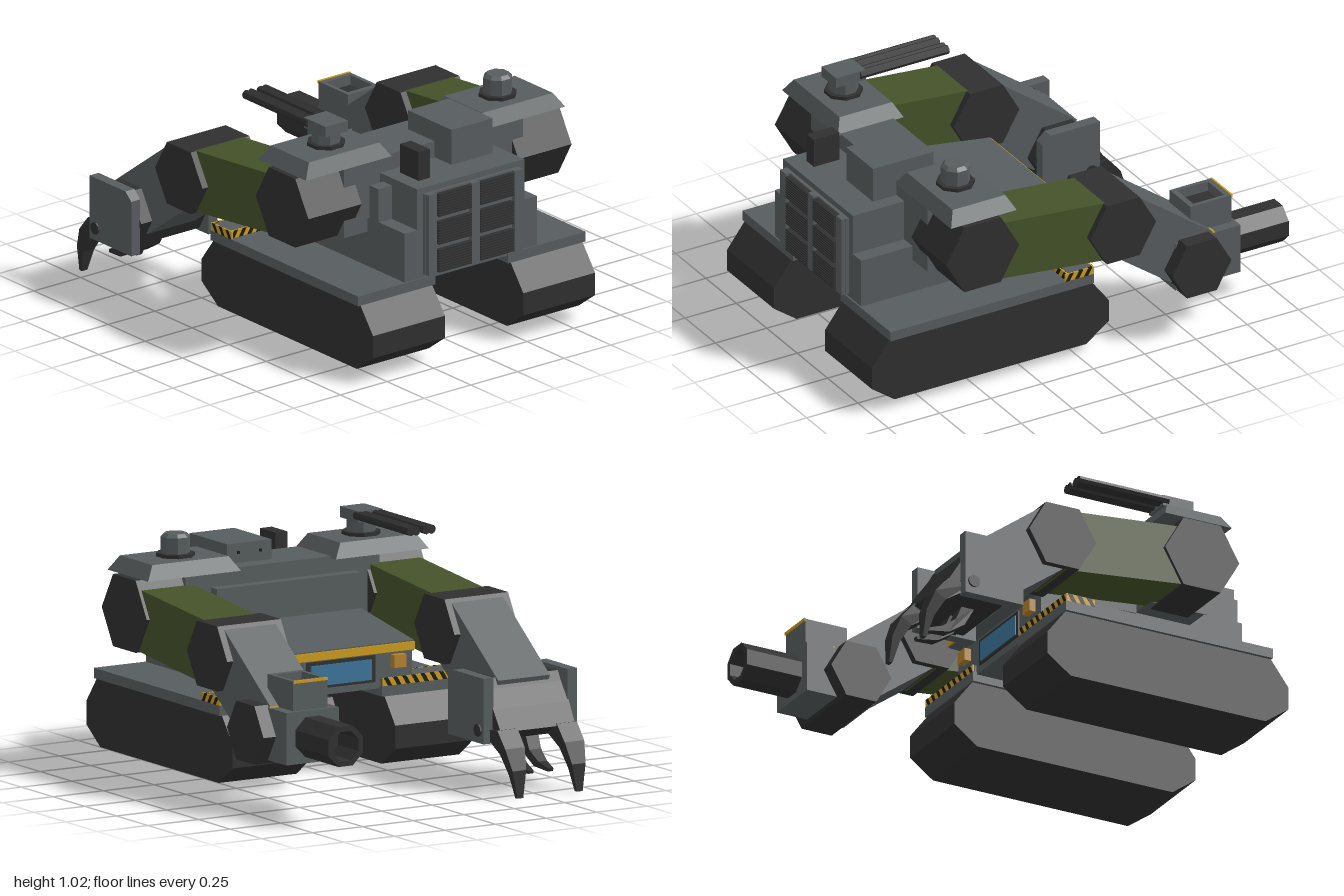
import * as THREE from 'three';

const mat = (name, color) => {
  const m = new THREE.MeshStandardMaterial({ color });
  m.name = name;
  return m;
};

export function createModel() {
  const grey = mat('armour grey', 0x575c5e), dark = mat('dark steel', 0x2f2f2f), green = mat('olive green', 0x445229);
  const yellow = mat('warning yellow', 0xcc9c1c), black = mat('stripe black', 0x1b1a17);
  const blue = mat('window blue', 0x3c7499), amber = mat('lamp amber', 0xb5832c);

  const root = new THREE.Group();
  const model = new THREE.Group();
  model.name = 'vehicle';
  model.position.x = 0.02; // the hull's symmetry plane
  root.add(model);

  const add = (name, geo, m, parent = model) => {
    const mesh = new THREE.Mesh(geo, m);
    mesh.name = name;
    parent.add(mesh);
    return mesh;
  };
  const facet = (geo) => {
    const g = geo.index ? geo.toNonIndexed() : geo;
    g.computeVertexNormals();
    return g;
  };
  const box = (name, m, x0, x1, y0, y1, z0, z1) => add(name, new THREE.BoxGeometry(Math.abs(x1 - x0), y1 - y0, z1 - z0)
    .translate((x0 + x1) / 2, (y0 + y1) / 2, (z0 + z1) / 2), m);
  // Side profile of [z, y] points, extruded across x; widthAt(z, y) tapers it
  const slab = (name, m, points, x0, x1, widthAt) => {
    const shape = new THREE.Shape(points.map(([z, y]) => new THREE.Vector2(z, y)));
    const w = Math.abs(x1 - x0), mid = (x0 + x1) / 2;
    const geo = new THREE.ExtrudeGeometry(shape, { depth: w, bevelEnabled: false }).rotateY(-Math.PI / 2).translate(w / 2, 0, 0);
    const p = geo.attributes.position;
    if (widthAt) for (let i = 0; i < p.count; i++) p.setX(i, p.getX(i) * widthAt(p.getZ(i), p.getY(i)));
    return add(name, facet(geo.translate(mid, 0, 0)), m);
  };
  // Prism lying along x, with corners pointing to the front and back
  const axle = (name, m, x0, x1, y, z, r, sides = 6) => add(name,
    facet(new THREE.CylinderGeometry(r, r, Math.abs(x1 - x0), sides).rotateZ(Math.PI / 2).translate((x0 + x1) / 2, y, z)), m);
  const post = (name, m, x, y0, y1, z, r0, r1 = r0) => add(name,
    facet(new THREE.CylinderGeometry(r1, r0, y1 - y0, 8).rotateY(Math.PI / 8).translate(x, (y0 + y1) / 2, z)), m);
  // Warning strip in the xy plane, striped on both faces
  const hazard = (length, x, y, z, turn) => {
    const g = new THREE.Group();
    g.name = 'hazardStrip';
    const h = 0.034, n = Math.round(length / 0.045), step = length / n;
    add('stripBase', new THREE.BoxGeometry(length, h, 0.007), yellow, g);
    for (let i = 0; i < n; i++) {
      const a = -length / 2 + i * step, s = step * 0.45;
      const shape = new THREE.Shape([[a, -h / 2], [a + s, -h / 2], [a + 2 * s, h / 2], [a + s, h / 2]].map((q) => new THREE.Vector2(...q)));
      add('stripe', new THREE.ExtrudeGeometry(shape, { depth: 0.0095, bevelEnabled: false }).translate(0, 0, -0.00475), black, g);
    }
    g.position.set(x, y, z);
    g.rotation.y = turn;
    model.add(g);
  };

  // Hull, hood and rear body
  slab('hull', grey, [[0.91, 0.37], [0.91, 0.6], [0.4, 0.6], [0.4, 0.53], [-0.055, 0.53], [-0.055, 0.37]], -0.355, 0.355);
  slab('hood', grey, [[0.4, 0.53], [0.4, 0.635], [-0.12, 0.575], [-0.12, 0.53]], -0.36, 0.36, (z) => 0.9 + 0.2 * (z + 0.12));
  box('hoodTrim', yellow, -0.325, 0.325, 0.535, 0.57, -0.127, -0.119);
  box('rearBody', grey, -0.287, 0.287, 0.59, 0.783, 0.36, 0.91);
  box('bodyShoulder', grey, -0.355, 0.355, 0.59, 0.783, 0.35, 0.66);
  box('shoulderMount', grey, -0.48, 0.48, 0.535, 0.855, 0.4, 0.66);
  box('sideBox', grey, -0.36, -0.28, 0.6, 0.75, 0.68, 0.74);

  // Roof equipment
  box('roofCabin', grey, 0.005, 0.225, 0.78, 0.94, 0.48, 0.775);
  for (const x of [0.06, 0.17]) for (const y of [0.83, 0.9]) box('cabinBolt', black, x - 0.006, x + 0.006, y - 0.006, y + 0.006, 0.475, 0.481);
  box('roofHatch', grey, -0.125, 0.005, 0.78, 0.815, 0.52, 0.64);
  box('periscope', dark, -0.22, -0.16, 0.78, 0.912, 0.71, 0.835);

  // Rear grille with six banks of slats
  box('grillePanel', grey, -0.255, 0.255, 0.395, 0.757, 0.9, 0.925);
  for (const x of [-0.23, 0, 0.23]) box('grilleFrame', grey, x - 0.022, x + 0.022, 0.395, 0.757, 0.92, 0.945);
  for (const x of [-0.112, 0.112]) for (const y of [0.7, 0.575, 0.45]) for (let i = -4; i <= 4; i++)
    box('ventSlat', dark, x - 0.088, x + 0.088, y + i * 0.0115 - 0.0035, y + i * 0.0115 + 0.0035, 0.92, 0.95);

  // Driver window
  box('windowFrame', dark, -0.17, 0.17, 0.4, 0.515, -0.061, -0.05);
  box('window', blue, -0.15, 0.15, 0.412, 0.5, -0.066, -0.058);

  for (const s of [-1, 1]) {
    // Running gear
    slab('track', dark, [[1, 0.225], [0.915, 0.337], [-0.07, 0.337], [-0.155, 0.225], [-0.155, 0.125], [-0.045, 0.045], [0.89, 0.045], [1, 0.125]],
      s * 0.21, s * 0.595);
    box('fender', grey, s * 0.195, s * 0.61, 0.337, 0.381, -0.075, 0.917);
    box('fenderBlock', grey, s * 0.2, s * 0.602, 0.38, 0.413, -0.066, 0.05);
    hazard(0.41, s * 0.405, 0.398, -0.07, 0);
    hazard(0.41, s * 0.405, 0.398, 0.054, 0);
    hazard(0.135, s * 0.606, 0.398, -0.003, Math.PI / 2);
    box('lamp', amber, s * 0.25, s * 0.31, 0.455, 0.51, -0.085, -0.05);

    // Jointed arm
    axle('shoulderJoint', dark, s * 0.42, s * 0.705, 0.687, 0.525, 0.178);
    slab('upperArm', green, [[0.45, 0.805], [-0.13, 0.752], [-0.13, 0.478], [0.45, 0.54]], s * 0.435, s * 0.69);
    axle('elbowJoint', dark, s * 0.405, s * 0.72, 0.618, -0.152, 0.16);
    slab('forearm', grey, [[-0.12, 0.745], [-0.235, 0.745], [-0.61, 0.468], [-0.55, 0.3], [-0.4, 0.285], [-0.12, 0.49]], s * 0.435, s * 0.69);

    // Sloped roof turret
    const plate = new THREE.BoxGeometry(0.46, 0.062, 0.32);
    const p = plate.attributes.position;
    for (let i = 0; i < p.count; i++) if (p.getY(i) > 0) p.setXYZ(i, p.getX(i) * 0.82, p.getY(i), p.getZ(i) * 0.8);
    add('turretBase', facet(plate.translate(s * 0.465, 0.88, 0.513)), grey);
    post('turretRing', dark, s * 0.46, 0.908, 0.926, 0.513, 0.083);
    post('cupola', grey, s * 0.46, 0.92, 0.995, 0.513, 0.063);
    post('cupolaCap', grey, s * 0.46, 0.995, 1.01, 0.513, 0.063, 0.048);
  }

  // Twin gun on the right turret
  box('gunBody', grey, -0.52, -0.4, 0.975, 1.022, 0.44, 0.585);
  for (const x of [-0.498, -0.422]) for (const d of [-0.013, 0.013])
    add('gunBarrel', facet(new THREE.CylinderGeometry(0.02, 0.02, 0.43, 8).rotateX(Math.PI / 2).translate(x + d, 1.002, 0.252)), dark);

  // Left hand: cannon with an open sight box
  axle('cannonWrist', dark, 0.37, 0.757, 0.353, -0.513, 0.144);
  box('cannonBlock', grey, 0.435, 0.695, 0.243, 0.467, -0.738, -0.42);
  for (const x of [0.455, 0.675]) box('blockStripe', yellow, x - 0.021, x + 0.021, 0.466, 0.472, -0.613, -0.603);
  const sight = new THREE.Shape([[0.48, 0.52], [0.65, 0.52], [0.65, 0.72], [0.48, 0.72]].map((q) => new THREE.Vector2(...q)));
  sight.holes.push(new THREE.Path([[0.498, 0.545], [0.498, 0.695], [0.632, 0.695], [0.632, 0.545]].map((q) => new THREE.Vector2(...q))));
  add('sightBox', new THREE.ExtrudeGeometry(sight, { depth: 0.13, bevelEnabled: false }).rotateX(-Math.PI / 2).translate(0, 0.464, 0), grey);
  box('sightWell', dark, 0.49, 0.64, 0.466, 0.55, -0.7, -0.54);
  box('sightLip', yellow, 0.48, 0.65, 0.585, 0.597, -0.726, -0.718);
  const bore = [[0, 0.7], [0.092, 0.7], [0.092, 1], [0.068, 1], [0.068, 0.84], [0, 0.84]].map((q) => new THREE.Vector2(...q));
  add('cannonBarrel', facet(new THREE.LatheGeometry(bore, 8).rotateY(Math.PI / 8).rotateX(-Math.PI / 2).translate(0.565, 0.355, 0)), dark);

  // Right hand: claw with side plates
  axle('clawWrist', dark, -0.75, -0.375, 0.353, -0.513, 0.145);
  slab('palm', dark, [[-0.48, 0.46], [-0.6, 0.45], [-0.665, 0.36], [-0.72, 0.27], [-0.62, 0.22], [-0.48, 0.22]], -0.75, -0.375,
    (z) => (z < -0.67 ? 0.98 : 1));
  for (const [x0, x1, out] of [[-0.793, -0.745, -0.801], [-0.38, -0.33, -0.322]]) {
    slab('clawPlate', grey, [[-0.38, 0.215], [-0.38, 0.46], [-0.42, 0.495], [-0.66, 0.495], [-0.66, 0.215]], x0, x1);
    axle('clawPlateBolt', dark, (x0 + x1) / 2, out, 0.27, -0.62, 0.027, 10);
  }
  const outer = [[-0.62, 0.27], [-0.72, 0.28], [-0.78, 0.21], [-0.815, 0.12], [-0.822, 0.003], [-0.805, 0.003], [-0.778, 0.1], [-0.73, 0.18], [-0.65, 0.23]];
  const inner = [[-0.53, 0.23], [-0.59, 0.23], [-0.62, 0.16], [-0.68, 0.118], [-0.745, 0.098], [-0.74, 0.085], [-0.65, 0.095], [-0.58, 0.14]];
  for (const s of [-1, 1]) {
    const x = -0.558 + s * 0.147, xi = -0.562 + s * 0.049;
    slab('outerClaw', dark, outer, x - 0.05, x + 0.05, (z, y) => 0.28 + 0.72 * Math.min(1, y / 0.22));
    slab('innerClaw', dark, inner, xi - 0.032, xi + 0.032, (z) => 1 - Math.max(0, -z - 0.6) * 4.2);
  }
  return root;
}
